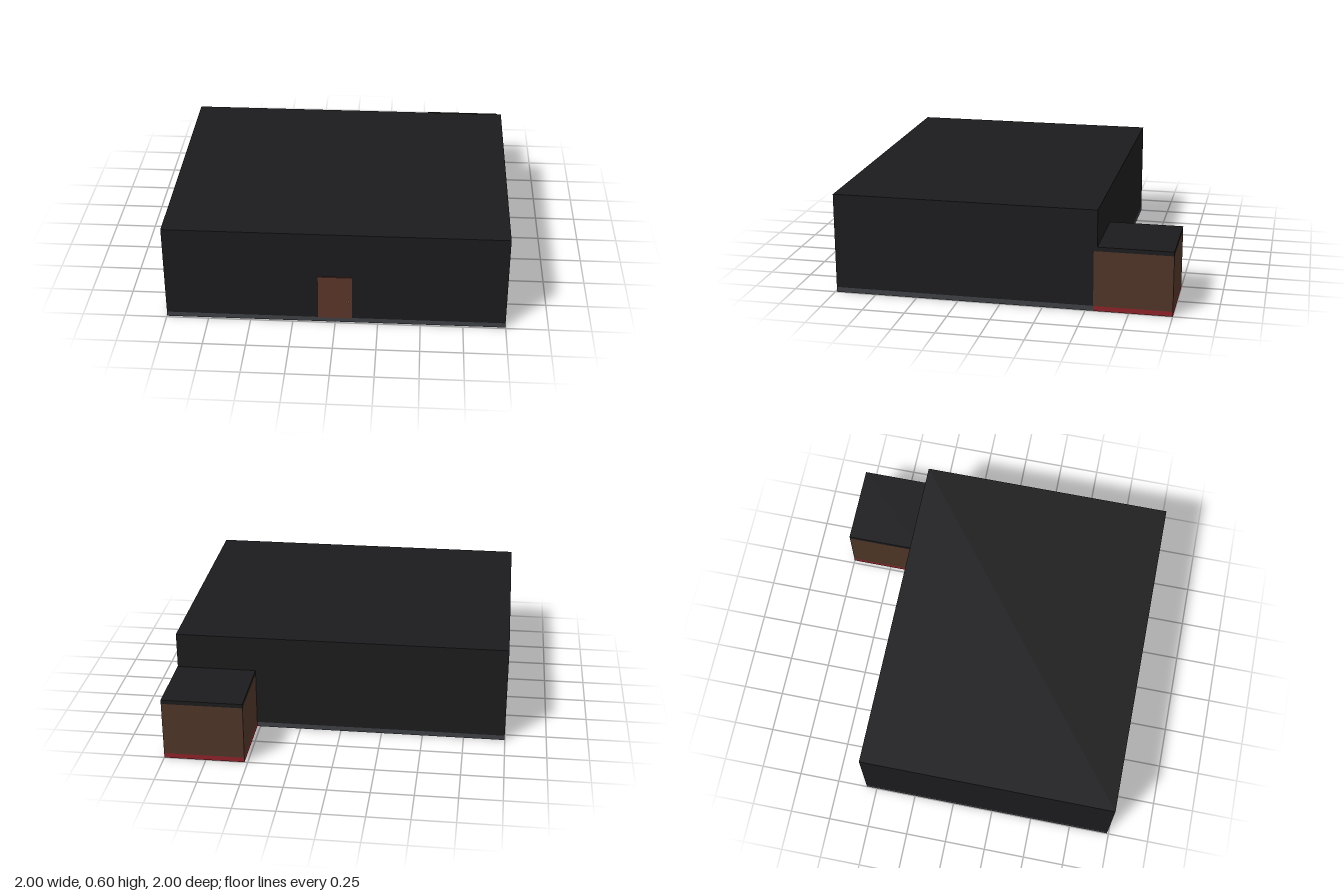
import * as THREE from 'three';

const mat = (color) => new THREE.MeshStandardMaterial({ color });

// Box given by its minimum and maximum corners
function block(name, [x0, y0, z0], [x1, y1, z1], material) {
  const mesh = new THREE.Mesh(new THREE.BoxGeometry(x1 - x0, y1 - y0, z1 - z0), material);
  mesh.position.set((x0 + x1) / 2, (y0 + y1) / 2, (z0 + z1) / 2);
  mesh.name = name;
  return mesh;
}

export function createModel() {
  const model = new THREE.Group();
  model.name = 'building';

  const black = mat(0x1b1b1d);
  const grey = mat(0x3c3e43);
  const brown = mat(0x4e3426);
  const red = mat(0x8a2228);
  const doorBrown = mat(0x5a3428);
  const brass = mat(0xc8a868);

  // Main hall: foundation, walls and thin roof slab
  const hall = new THREE.Group();
  hall.name = 'mainHall';
  hall.add(
    block('foundation', [-0.998, 0, -0.565], [0.998, 0.03, 0.99], grey),
    block('walls', [-0.998, 0.03, -0.565], [0.998, 0.592, 0.99], black),
    block('roof', [-0.998, 0.592, -0.565], [0.998, 0.602, 0.99], black),
  );

  // Rear annex, let slightly into the back of the hall
  const annex = new THREE.Group();
  annex.name = 'annex';
  annex.add(
    block('annexFloor', [0.519, 0, -1], [1, 0.03, -0.545], red),
    block('annexWalls', [0.519, 0.03, -1], [1, 0.36, -0.545], brown),
    block('annexRoof', [0.519, 0.36, -1], [1, 0.385, -0.545], black),
  );

  // Front door with a small round knob
  const door = new THREE.Group();
  door.name = 'frontDoor';
  const knob = new THREE.Mesh(new THREE.SphereGeometry(0.005, 12, 8), brass);
  knob.name = 'doorKnob';
  knob.position.set(0.08, 0.148, 0.995);
  door.add(block('doorPanel', [-0.1, 0.03, 0.98], [0.098, 0.315, 0.995], doorBrown), knob);

  model.add(hall, annex, door);
  return model;
}
